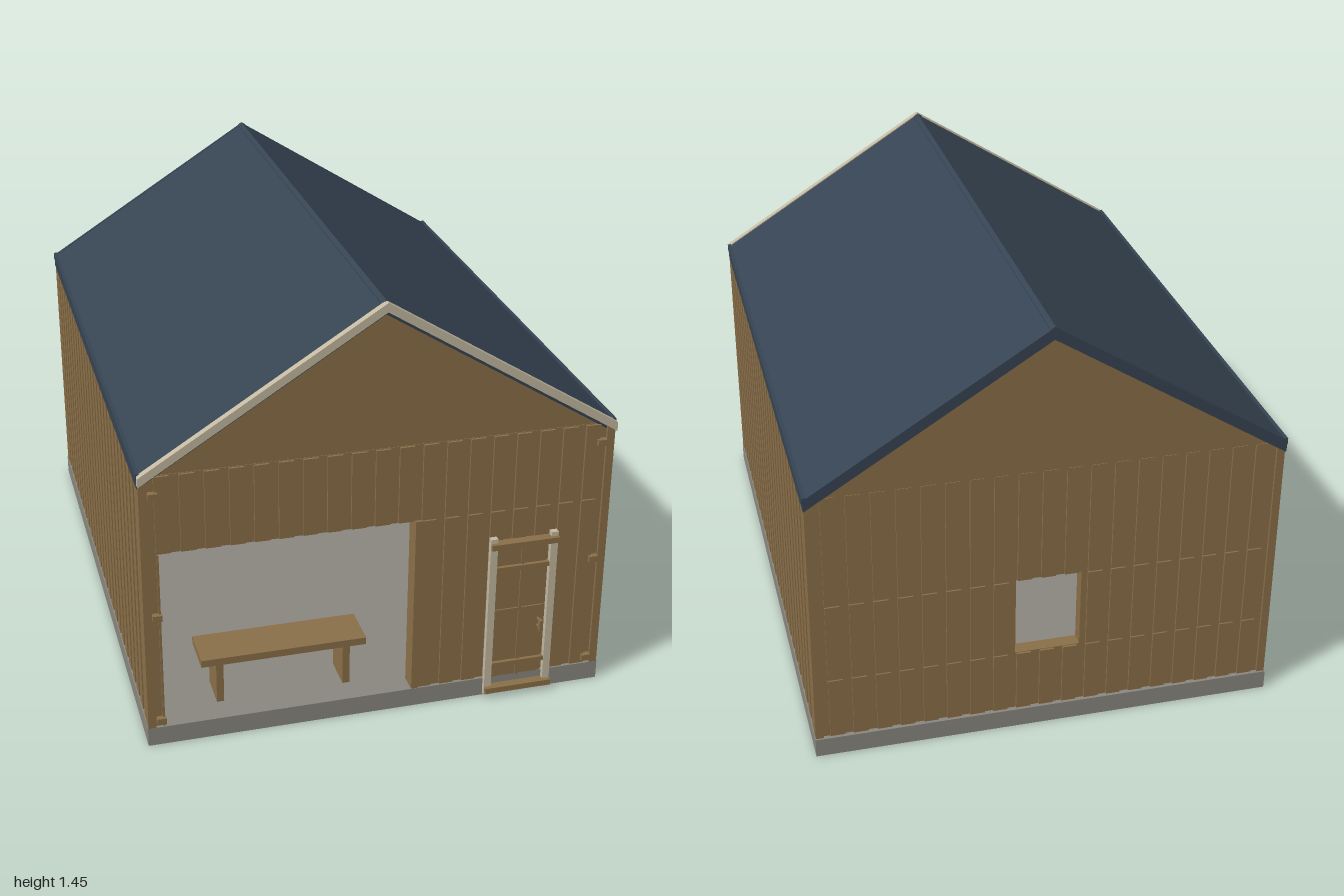
import * as THREE from 'three';
import { mergeGeometries } from 'three/addons/utils/BufferGeometryUtils.js';

const mat = (name, color) => {
  const m = new THREE.MeshStandardMaterial({ color });
  m.name = name;
  return m;
};

// box geometry from its limits
function box(x0, x1, y0, y1, z0, z1) {
  return new THREE.BoxGeometry(x1 - x0, y1 - y0, z1 - z0)
    .translate((x0 + x1) / 2, (y0 + y1) / 2, (z0 + z1) / 2);
}

export function createModel() {
  const root = new THREE.Group();
  root.name = 'barn';
  const wood = mat('wood', 0x8b7049);
  const concrete = mat('concrete', 0x8a887f);
  const slate = mat('slateBlue', 0x364453);
  const cream = mat('creamTrim', 0xc4baa2);

  function add(parent, name, geos, material) {
    const mesh = new THREE.Mesh(Array.isArray(geos) ? mergeGeometries(geos) : geos, material);
    mesh.name = name;
    parent.add(mesh);
    return mesh;
  }

  // main sizes
  const W = 0.767, FLOOR = 0.065, EAVE = 0.96, RIDGE = 1.445, SLOPE = 0.63;
  const THICK = 0.045, RAISE = 0.008, PITCH = 0.077, BOARD = 0.048;

  // wall facing +z with its outer face at z = 0, from rectangles [x0, x1, y0, y1]
  function boardedWall(name, rects) {
    const geos = [];
    for (const [x0, x1, y0, y1] of rects) {
      geos.push(box(x0, x1, y0, y1, -THICK - RAISE, -RAISE));
      for (let k = -14; k <= 14; k++) {
        const a = Math.max(x0, k * PITCH - BOARD / 2);
        const b = Math.min(x1, k * PITCH + BOARD / 2);
        if (b - a > 0.006) geos.push(box(a, b, y0 + 0.002, y1 - 0.002, -RAISE, 0));
      }
    }
    return add(root, name, geos, wood);
  }

  // inverted V that follows the roof pitch
  function chevron(half, top, thick, z0, z1) {
    const drop = half * SLOPE;
    const s = new THREE.Shape([
      [-half, top - drop - thick], [0, top - thick], [half, top - drop - thick],
      [half, top - drop], [0, top], [-half, top - drop],
    ].map(([x, y]) => new THREE.Vector2(x, y)));
    return new THREE.ExtrudeGeometry(s, { depth: z1 - z0, bevelEnabled: false }).translate(0, 0, z0);
  }

  // foundation
  add(root, 'foundationSlab', box(-W, W, 0, FLOOR, -1, 0.965), concrete);

  // front wall with the wide opening
  boardedWall('frontWall', [
    [-0.76, 0.76, 0.692, EAVE],
    [0.12, 0.76, FLOOR, 0.692],
    [-0.76, -0.71, FLOOR, 0.692],
  ]).position.z = 0.962;
  add(root, 'openingPost', box(0.11, 0.132, FLOOR, 0.692, 0.9, 0.964), wood);

  // back wall around the window
  const back = boardedWall('backWall', [
    [-0.76, 0.76, FLOOR, 0.285],
    [-0.76, -0.105, 0.285, 0.565],
    [0.11, 0.76, 0.285, 0.565],
    [-0.76, 0.76, 0.565, EAVE],
  ]);
  back.rotation.y = Math.PI;
  back.position.z = -0.992;

  // side walls
  for (const s of [-1, 1]) {
    const side = boardedWall(s > 0 ? 'leftWall' : 'rightWall', [[-0.97, 0.97, FLOOR, EAVE]]);
    side.rotation.y = s * Math.PI / 2;
    side.position.set(s * 0.764, 0, -0.015);
  }

  // corner posts and small front brackets
  for (const s of [-1, 1]) {
    const x = s * 0.752;
    add(root, 'cornerPost', [
      box(x - 0.013, x + 0.013, FLOOR, EAVE, 0.93, 0.965),
      box(x - 0.013, x + 0.013, FLOOR, EAVE, -0.994, -0.96),
    ], wood);
    const c = s * 0.722;
    add(root, 'brackets', [0.09, 0.472, 0.897].map(
      y => box(c - 0.015, c + 0.015, y - 0.011, y + 0.011, 0.955, 0.974)), wood);
  }

  // plain gables
  for (const z of [0.912, -0.99]) {
    const tri = new THREE.Shape();
    tri.moveTo(-0.74, EAVE - 0.005);
    tri.lineTo(0.74, EAVE - 0.005);
    tri.lineTo(0, 1.422);
    const g = new THREE.ExtrudeGeometry(tri, { depth: 0.04, bevelEnabled: false });
    add(root, z > 0 ? 'frontGable' : 'backGable', g.translate(0, 0, z), wood);
  }

  // roof, ridge cap, back verge, eave strips and front bargeboards
  add(root, 'roof', chevron(W, RIDGE, 0.04, -0.998, 0.957), slate);
  add(root, 'ridgeCap', chevron(0.014, RIDGE + 0.004, 0.012, -1, 0.957), slate);
  add(root, 'backVerge', chevron(W, RIDGE + 0.002, 0.038, -1, -0.988), slate);
  for (const s of [-1, 1]) {
    const x = s * 0.763;
    add(root, 'eaveStrip', box(x - 0.006, x + 0.006, 0.95, 0.972, -1, 0.957), slate);
  }
  add(root, 'bargeboards', chevron(W, RIDGE + 0.004, 0.03, 0.952, 0.976), cream);

  // bench inside the opening
  const bench = new THREE.Group();
  bench.name = 'bench';
  root.add(bench);
  add(bench, 'benchSeat', box(-0.575, -0.025, 0.215, 0.24, 0.74, 0.89), wood);
  for (const x of [-0.512, -0.088]) {
    add(bench, 'benchLeg', box(x - 0.012, x + 0.012, FLOOR, 0.215, 0.755, 0.875), wood);
  }

  // door with cream uprights and wooden rails
  const door = new THREE.Group();
  door.name = 'door';
  root.add(door);
  add(door, 'doorLeaf', box(0.388, 0.558, 0.066, 0.57, 0.95, 0.966), wood);
  for (const x of [0.371, 0.577]) {
    add(door, 'doorUpright', box(x - 0.012, x + 0.012, 0.008, 0.6, 0.962, 0.981), cream);
  }
  const rails = [
    [0.36, 0.59, 0.02, 0.04, 0.995], [0.38, 0.57, 0.11, 0.126, 0.978],
    [0.38, 0.57, 0.474, 0.49, 0.978], [0.36, 0.59, 0.565, 0.585, 0.993],
    [0.39, 0.556, 0.316, 0.326, 0.971], [0.47, 0.48, 0.066, 0.565, 0.971],
  ];
  add(door, 'doorRails', rails.map(([a, b, c, d, z]) => box(a, b, c, d, 0.96, z)), wood);
  add(door, 'doorHandle', [
    box(0.536, 0.546, 0.24, 0.28, 0.985, 1),
    box(0.538, 0.544, 0.244, 0.25, 0.96, 0.99),
    box(0.538, 0.544, 0.27, 0.276, 0.96, 0.99),
  ], wood);

  return root;
}
